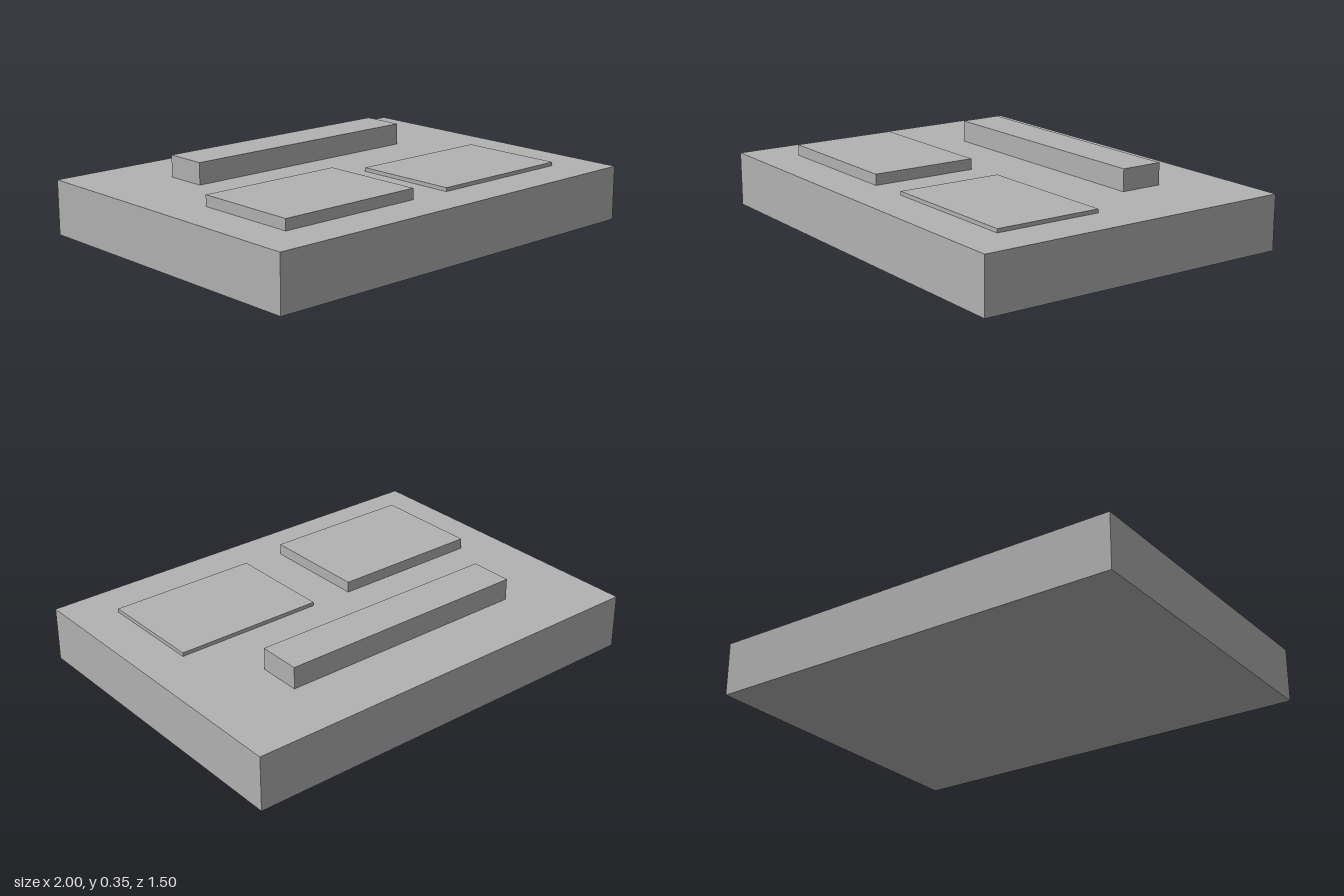
import * as THREE from 'three';

export function createModel() {
  const model = new THREE.Group();
  model.name = 'slabWithRaisedBlocks';
  const grey = new THREE.MeshStandardMaterial({ color: 0xb2b2b2 });
  grey.name = 'plain grey';

  // Adds a box standing on the height "bottom"
  function addBlock(name, width, height, depth, x, bottom, z) {
    const mesh = new THREE.Mesh(new THREE.BoxGeometry(width, height, depth), grey);
    mesh.name = name;
    mesh.position.set(x, bottom + height / 2, z);
    model.add(mesh);
  }

  const top = 0.25;
  // Thick base slab
  addBlock('baseSlab', 2, top, 1.5, 0, 0, 0);
  // Long raised bar towards the back
  addBlock('backBar', 1.2, 0.1, 0.2, 0, top, -0.35);
  // Two front pads of different heights
  addBlock('rightPad', 0.7, 0.05, 0.5, -0.45, top, 0.3);
  addBlock('leftPad', 0.7, 0.017, 0.5, 0.45, top, 0.3);

  return model;
}
